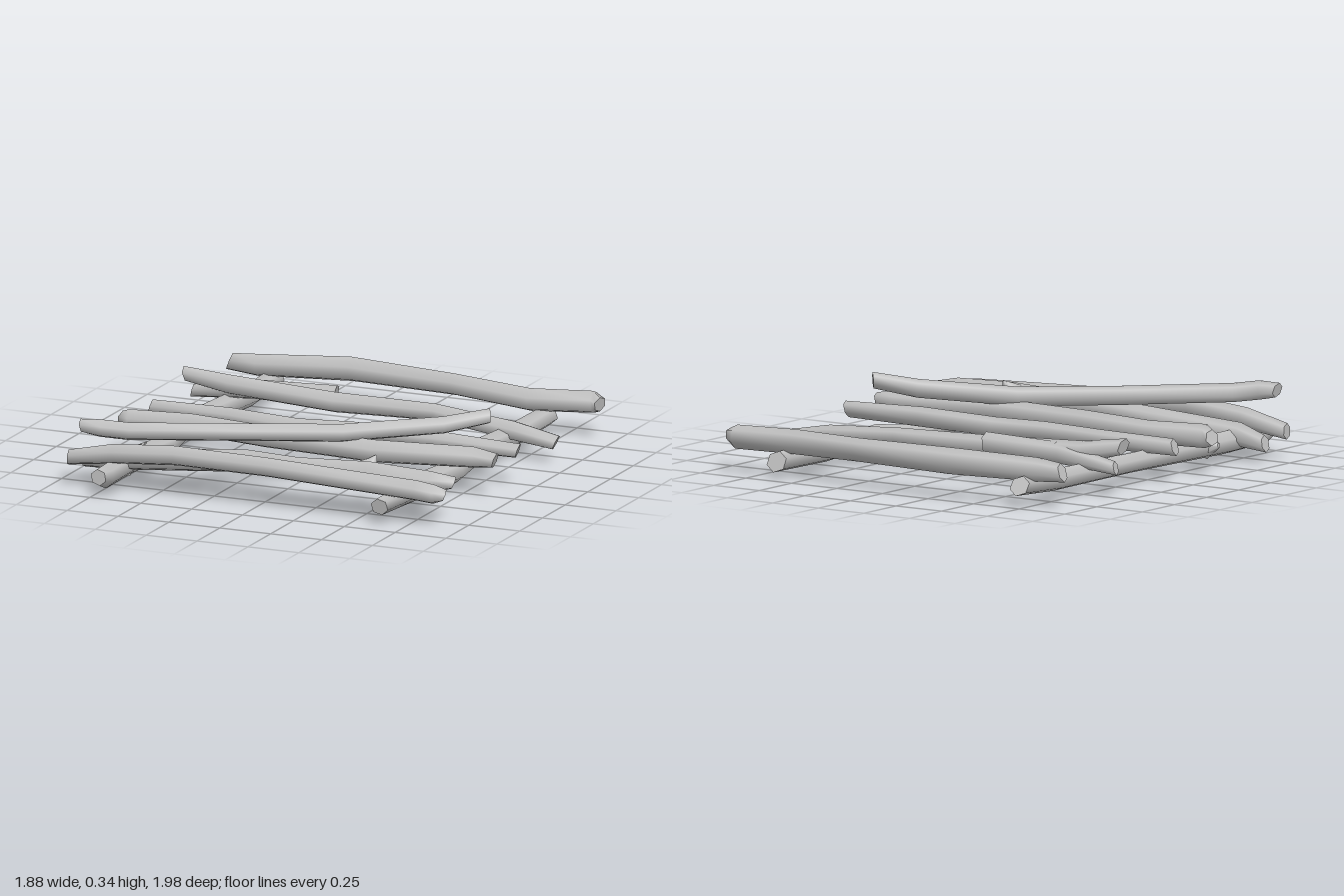
import * as THREE from 'three';

const SIDES = 6;

// Sweeps a rough round section along points [x, y, z, radius]; the ends are cut at a slant.
function logGeometry(points, slantA, slantB) {
  const pts = points.map(p => new THREE.Vector3(p[0], p[1], p[2]));
  const last = pts.length - 1;
  const up = new THREE.Vector3(0, 1, 0);
  const pos = [], index = [], rings = [];
  pts.forEach((p, k) => {
    const t = pts[Math.min(k + 1, last)].clone().sub(pts[Math.max(k - 1, 0)]).normalize();
    const s = t.clone().cross(up).normalize();
    const u = s.clone().cross(t);
    const slant = k === 0 ? slantA : k === last ? slantB : 0;
    const ring = [];
    for (let i = 0; i < SIDES; i++) {
      const a = (i / SIDES) * Math.PI * 2 + 0.35;
      const r = points[k][3];
      ring.push(p.clone()
        .addScaledVector(s, Math.cos(a) * r)
        .addScaledVector(u, Math.sin(a) * r)
        .addScaledVector(t, Math.sin(a + 0.6) * slant));
    }
    rings.push(ring);
    ring.forEach(v => pos.push(v.x, v.y, v.z));
  });
  // bark
  for (let k = 0; k < last; k++) {
    for (let i = 0; i < SIDES; i++) {
      const a = k * SIDES + i, b = k * SIDES + (i + 1) % SIDES;
      index.push(a, a + SIDES, b, b, a + SIDES, b + SIDES);
    }
  }
  // cut ends, with their own vertices so the edge stays sharp
  for (const k of [0, last]) {
    const base = pos.length / 3;
    rings[k].forEach(v => pos.push(v.x, v.y, v.z));
    for (let i = 1; i < SIDES - 1; i++) {
      if (k === 0) index.push(base, base + i, base + i + 1);
      else index.push(base, base + i + 1, base + i);
    }
  }
  const g = new THREE.BufferGeometry();
  g.setAttribute('position', new THREE.Float32BufferAttribute(pos, 3));
  g.setIndex(index);
  g.computeVertexNormals();
  return g;
}

export function createModel() {
  const wood = new THREE.MeshStandardMaterial({ color: 0xc2c2c2 });
  wood.name = 'pale grey wood';
  const model = new THREE.Group();
  model.name = 'logRaft';

  const add = (name, points, slantA = 0.025, slantB = 0.025) => {
    const mesh = new THREE.Mesh(logGeometry(points, slantA, slantB), wood);
    mesh.name = name;
    model.add(mesh);
  };

  // two long rails underneath
  add('rightRail', [[-0.71, 0.1, -0.94, 0.045], [-0.70, 0.09, -0.65, 0.052], [-0.74, 0.1, -0.1, 0.048],
    [-0.69, 0.085, 0.3, 0.052], [-0.72, 0.09, 0.65, 0.055], [-0.71, 0.09, 0.93, 0.052],
    [-0.715, 0.1, 0.985, 0.038]], 0.02, 0.008);
  add('leftRail', [[0.645, 0.08, -0.91, 0.048], [0.65, 0.08, -0.5, 0.055], [0.645, 0.1, -0.15, 0.052],
    [0.635, 0.062, 0.1, 0.055], [0.64, 0.09, 0.5, 0.058], [0.63, 0.09, 0.905, 0.04]], 0.015, 0.012);

  // cross logs, back to front
  add('backLog', [[-0.90, 0.17, -0.875, 0.042], [-0.76, 0.17, -0.865, 0.054], [-0.33, 0.18, -0.94, 0.06],
    [0.2, 0.175, -0.90, 0.053], [0.6, 0.165, -0.83, 0.056], [0.88, 0.17, -0.89, 0.054],
    [0.925, 0.17, -0.86, 0.035]], 0.02, 0.01);
  add('secondLog', [[-0.9, 0.225, -0.4, 0.036], [-0.7, 0.19, -0.435, 0.048], [-0.18, 0.165, -0.43, 0.05],
    [0.3, 0.165, -0.455, 0.042], [0.7, 0.13, -0.42, 0.048], [0.91, 0.1, -0.41, 0.038]], -0.02, 0.015);
  add('thirdLog', [[-0.9, 0.17, 0.0, 0.038], [-0.5, 0.17, 0.0, 0.042], [-0.15, 0.165, 0.045, 0.046],
    [0.1, 0.17, 0.008, 0.044], [0.5, 0.175, 0.02, 0.045], [0.92, 0.17, 0.03, 0.036]], 0.015, 0.015);
  add('fourthLog', [[-0.92, 0.18, 0.26, 0.036], [-0.87, 0.18, 0.285, 0.054], [-0.59, 0.18, 0.235, 0.052],
    [-0.2, 0.18, 0.295, 0.054], [0.35, 0.18, 0.33, 0.056], [0.8, 0.18, 0.245, 0.052],
    [0.91, 0.18, 0.26, 0.036]], 0.01, 0.015);
  add('fifthLog', [[-0.91, 0.095, 0.69, 0.036], [-0.75, 0.12, 0.715, 0.054], [-0.12, 0.165, 0.665, 0.055],
    [0.15, 0.17, 0.715, 0.056], [0.5, 0.18, 0.705, 0.062], [0.8, 0.18, 0.715, 0.052],
    [0.9, 0.18, 0.695, 0.03]], 0.02, 0.015);
  add('frontLog', [[-0.93, 0.135, 0.83, 0.036], [-0.7, 0.175, 0.83, 0.048], [-0.4, 0.2, 0.835, 0.048],
    [0.05, 0.195, 0.835, 0.047], [0.78, 0.165, 0.83, 0.05], [0.86, 0.155, 0.825, 0.048],
    [0.905, 0.15, 0.81, 0.03]], 0.01, 0.01);

  // diagonal log lying on top
  add('diagonalLog', [[-0.835, 0.305, 0.89, 0.033], [-0.75, 0.3, 0.878, 0.043], [-0.64, 0.285, 0.825, 0.043],
    [-0.2, 0.265, 0.565, 0.043], [0.2, 0.252, 0.345, 0.044], [0.6, 0.28, 0.13, 0.042],
    [0.775, 0.315, 0.025, 0.036]], -0.012, 0.01);

  // split spur merged with the second log, and broken branch stubs
  add('spur', [[-0.9, 0.135, -0.46, 0.03], [-0.6, 0.175, -0.455, 0.048], [-0.2, 0.178, -0.468, 0.058]], 0.015, 0.015);
  add('stubFifthLog', [[0.45, 0.19, 0.69, 0.05], [0.49, 0.225, 0.665, 0.03], [0.5, 0.255, 0.65, 0.004]], 0, 0);
  add('stubRightRail', [[-0.71, 0.09, 0.5, 0.06], [-0.785, 0.1, 0.505, 0.012]], 0, 0);
  add('stubLeftRail', [[0.63, 0.09, -0.46, 0.05], [0.57, 0.13, -0.495, 0.01]], 0, 0);
  add('stubFrontRight', [[-0.72, 0.12, 0.69, 0.05], [-0.7, 0.04, 0.7, 0.015]], 0, 0);
  return model;
}
